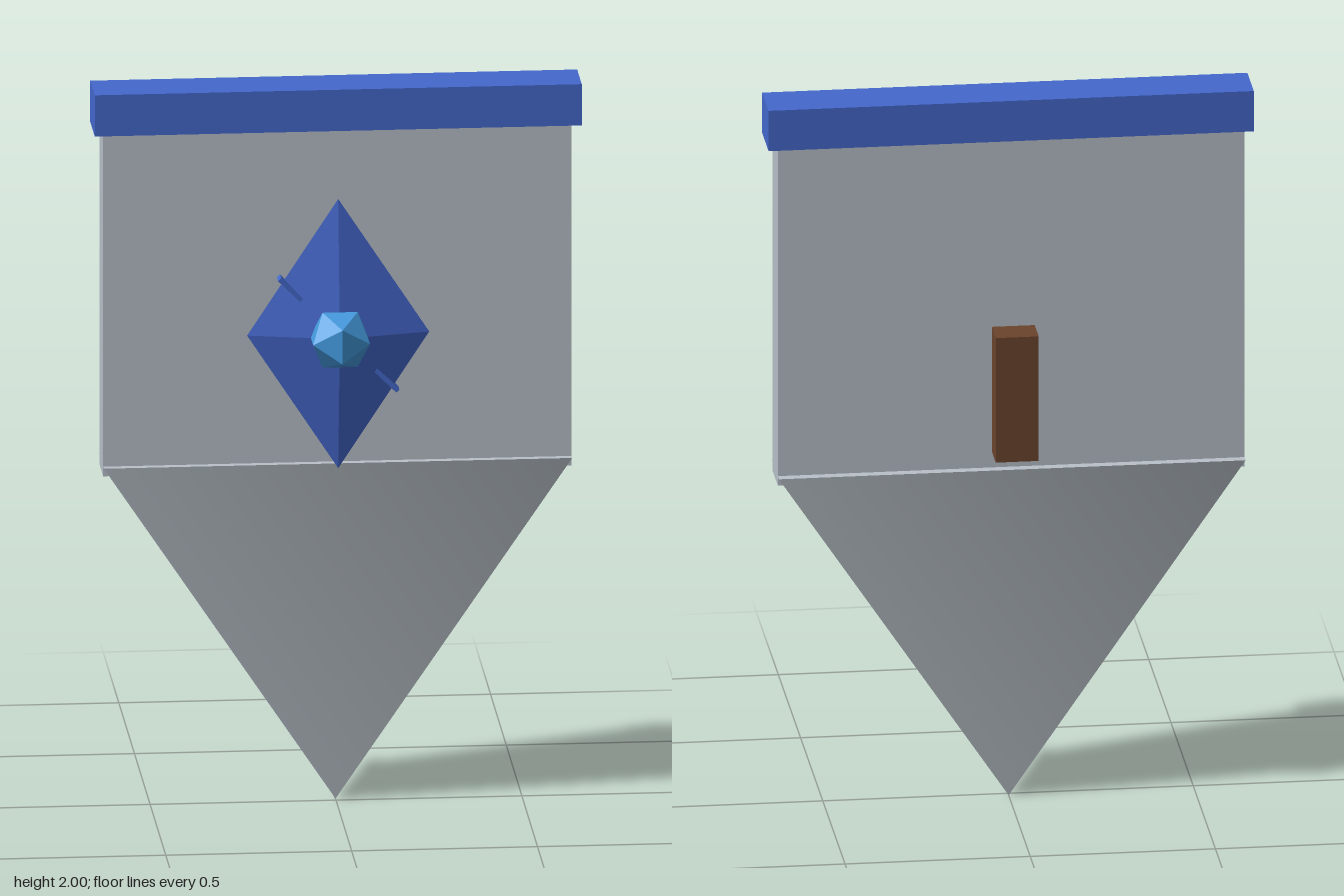
import * as THREE from 'three';

const material = (name, color) => {
  const m = new THREE.MeshStandardMaterial({ color });
  m.name = name;
  return m;
};

export function createModel() {
  const steel = material('steel', 0xb8c0c8);
  const blue = material('royal blue', 0x4468cc);
  const gemBlue = material('gem blue', 0x4499dd);
  const brown = material('grip brown', 0x6b442c);

  const shield = new THREE.Group();
  shield.name = 'shield';
  const add = (name, geometry, mat, x, y, z) => {
    const mesh = new THREE.Mesh(geometry, mat);
    mesh.name = name;
    mesh.position.set(x, y, z);
    shield.add(mesh);
    return mesh;
  };

  // Flat upper plate and the bar capping it
  add('plate', new THREE.BoxGeometry(1.26, 0.965, 0.116), steel, 0, 1.4125, -0.013);
  add('topBar', new THREE.BoxGeometry(1.31, 0.115, 0.145), blue, 0, 1.9425, 0);

  // Lower point: an upside-down four-sided cone, flattened in depth
  const point = new THREE.ConeGeometry(Math.SQRT2, 0.957, 4);
  point.rotateY(Math.PI / 4).rotateX(Math.PI).scale(0.63, 1, 0.081);
  add('lowerPoint', point, steel, 0, 0.4785, -0.0155);

  // Diamond emblem, half sunk into the plate
  const diamond = new THREE.OctahedronGeometry(1, 0);
  diamond.scale(0.245, 0.375, 0.055);
  add('emblem', diamond, blue, 0, 1.32, 0.07);

  // Thin diagonal rib whose ends break through the emblem
  const rib = add('emblemRib', new THREE.BoxGeometry(0.45, 0.012, 0.036), blue, 0, 1.32, 0.07);
  rib.rotation.z = -Math.PI / 4;

  // Faceted gem in the middle
  add('gem', new THREE.IcosahedronGeometry(0.09, 0), gemBlue, 0, 1.32, 0.132);

  // Grip floating behind the plate
  add('grip', new THREE.BoxGeometry(0.116, 0.355, 0.09), brown, 0, 1.1975, -0.163);

  return shield;
}
